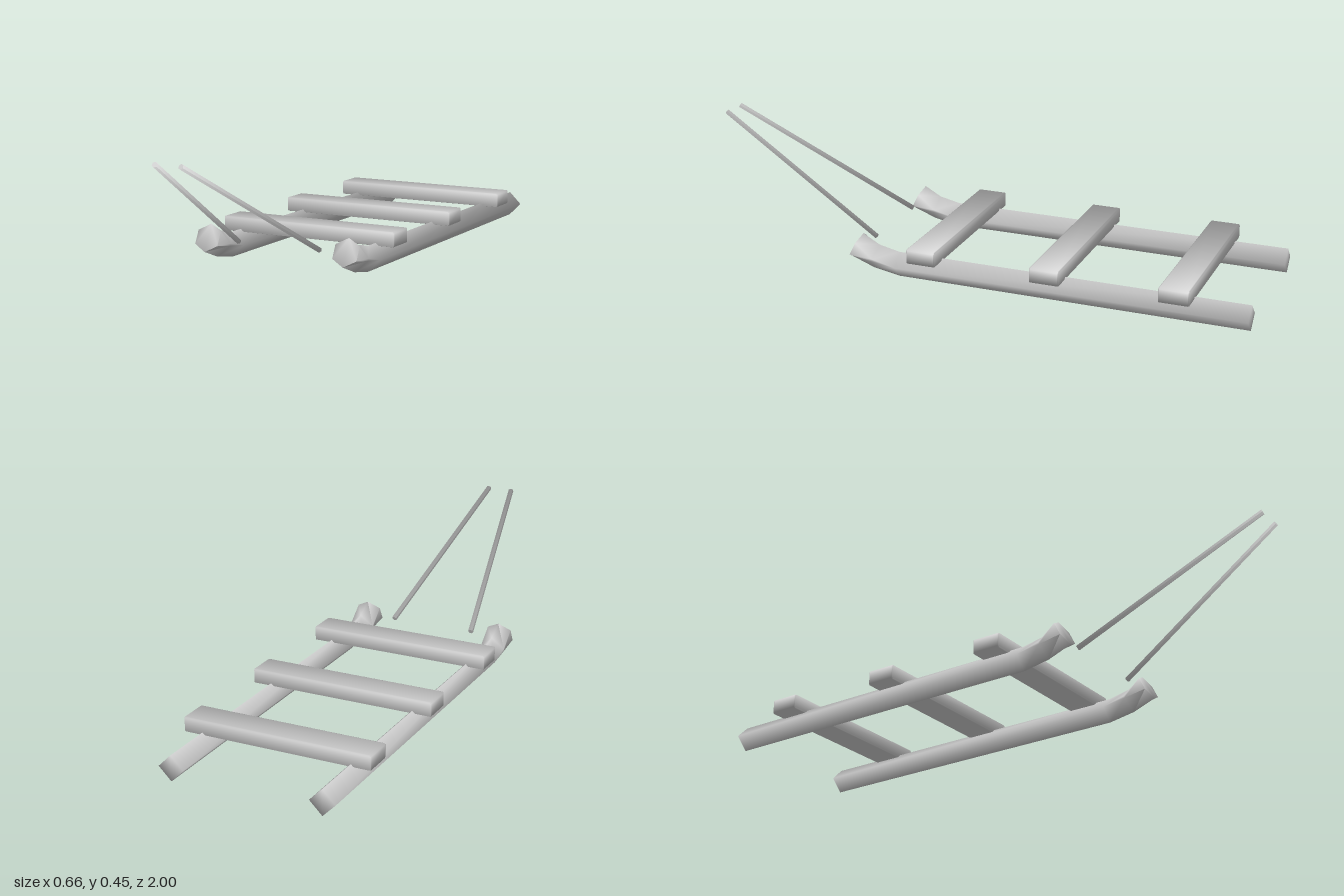
import * as THREE from 'three';
import { toCreasedNormals } from 'three/addons/utils/BufferGeometryUtils.js';
import { RoundedBoxGeometry } from 'three/addons/geometries/RoundedBoxGeometry.js';

const material = new THREE.MeshStandardMaterial({ color: 0xcccccc });
const SMOOTH = 1.75; // soft shading across right-angled edges

// Runner stations: z, y, tilt, half-height, height of the side facets
const STATIONS = [
  [-1, 0.047, 0, 0.044, 0],
  [0.22, 0.047, 0, 0.044, 0],
  [0.305, 0.063, 0.24, 0.045, 0.004],
  [0.377, 0.095, 0.46, 0.05, 0.025],
];

// Diamond section that opens into a hexagon at the upturned tip
function section([z, y, tilt, h, s]) {
  const w = 0.044;
  return [[0, h], [-w, s], [-w, -s], [0, -h], [w, -s], [w, s]].map(
    ([a, b]) => new THREE.Vector3(a, y + b * Math.cos(tilt), z - b * Math.sin(tilt)));
}

function runnerGeometry() {
  const rings = STATIONS.map(section);
  const points = [];
  // Collapsed side facets are skipped
  const triangle = (a, b, c) => {
    if (Math.min(a.distanceTo(b), b.distanceTo(c), c.distanceTo(a)) > 1e-4) points.push(a, b, c);
  };
  for (let i = 0; i < rings.length - 1; i++) {
    for (let j = 0; j < 6; j++) {
      const k = (j + 1) % 6;
      triangle(rings[i][j], rings[i][k], rings[i + 1][j]);
      triangle(rings[i][k], rings[i + 1][k], rings[i + 1][j]);
    }
  }
  // End caps
  const back = rings[0], front = rings[rings.length - 1];
  for (let j = 1; j < 5; j++) {
    triangle(back[0], back[j + 1], back[j]);
    triangle(front[0], front[j], front[j + 1]);
  }
  return toCreasedNormals(new THREE.BufferGeometry().setFromPoints(points), SMOOTH);
}

// Thin six-sided bar between two points
function bar(from, to, radius) {
  const dir = to.clone().sub(from);
  const geometry = new THREE.CylinderGeometry(radius, radius, dir.length(), 6);
  const mesh = new THREE.Mesh(toCreasedNormals(geometry, SMOOTH), material);
  mesh.position.copy(from).add(to).multiplyScalar(0.5);
  mesh.quaternion.setFromUnitVectors(new THREE.Vector3(0, 1, 0), dir.normalize());
  return mesh;
}

export function createModel() {
  const model = new THREE.Group();
  model.name = 'sled';

  const runner = runnerGeometry();
  for (const [side, label] of [[1, 'left'], [-1, 'right']]) {
    const rail = new THREE.Mesh(runner, material);
    rail.name = label + 'Runner';
    rail.position.x = side * 0.262;
    model.add(rail);

    // Pulling shafts converge towards the front
    const shaft = bar(
      new THREE.Vector3(side * 0.154, 0.09, 0.357),
      new THREE.Vector3(side * 0.046, 0.44, 0.996), 0.0095);
    shaft.name = label + 'Shaft';
    model.add(shaft);
  }

  // Cross slats resting on the runners
  const slat = toCreasedNormals(new RoundedBoxGeometry(0.658, 0.052, 0.104, 1, 0.005), SMOOTH);
  [0.114, -0.325, -0.762].forEach((z, i) => {
    const mesh = new THREE.Mesh(slat, material);
    mesh.name = 'crossSlat' + (i + 1);
    mesh.position.set(0, 0.106, z);
    model.add(mesh);
  });

  return model;
}
